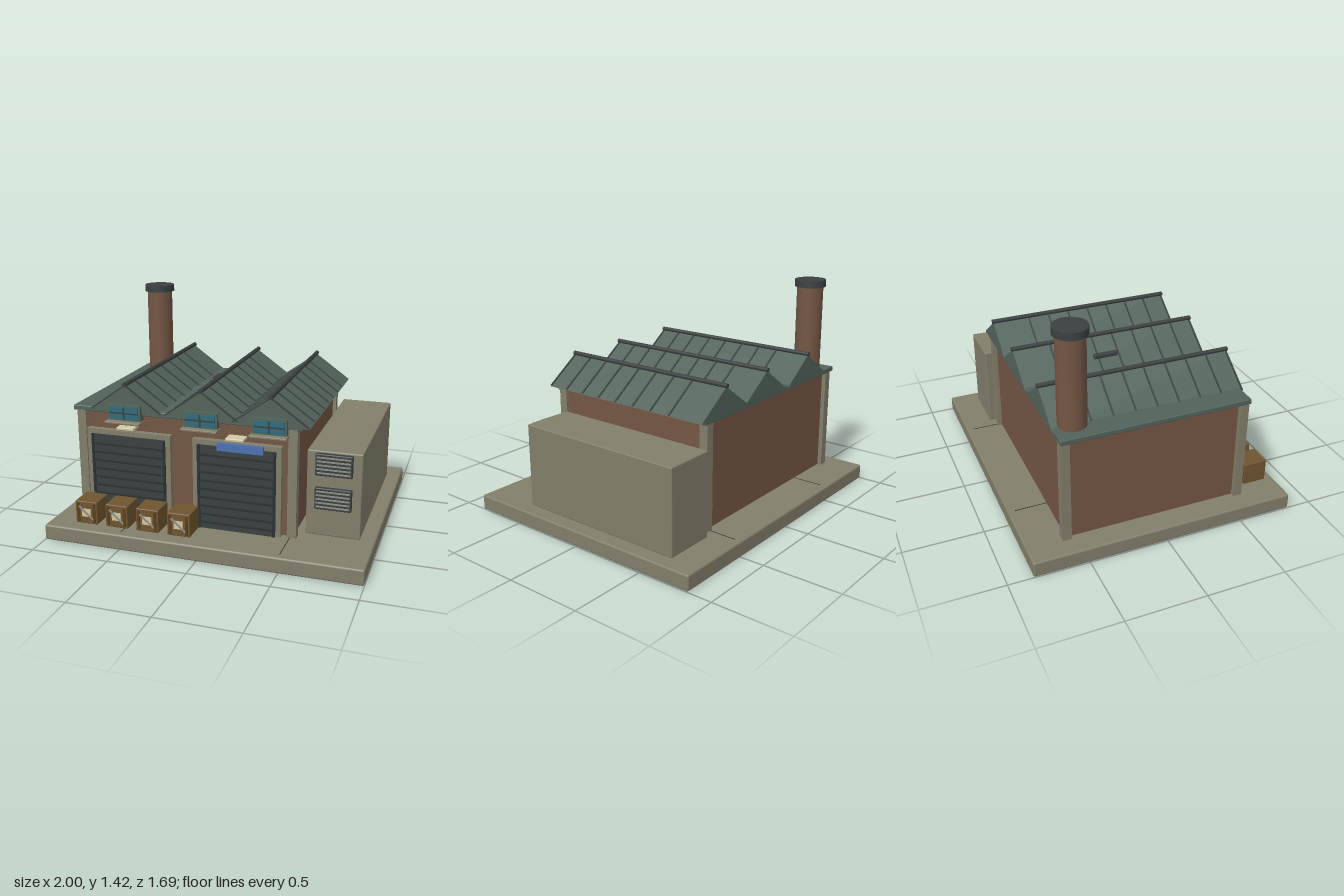
import * as THREE from 'three';
import { RoundedBoxGeometry } from 'three/addons/geometries/RoundedBoxGeometry.js';

const mat = (color) => new THREE.MeshStandardMaterial({ color });
const M = {
  stone: mat(0x827e6b), brick: mat(0x735644), roof: mat(0x52635a), dark: mat(0x3a4040),
  slat: mat(0x2c3131), glass: mat(0x2f6a7a), sign: mat(0x4a70b0), lamp: mat(0xcfc8a2),
  wood: mat(0x70552f), woodDark: mat(0x59401f), strap: mat(0x8a8c80),
};

export function createModel() {
  const root = new THREE.Group();

  const group = (name, parent = root) => {
    const g = new THREE.Group();
    g.name = name;
    parent.add(g);
    return g;
  };
  const add = (name, geometry, material, parent = root) => {
    const m = new THREE.Mesh(geometry, material);
    m.name = name;
    parent.add(m);
    return m;
  };
  // box given by its limits on each axis; r rounds the edges
  const box = (name, [x0, x1], [y0, y1], [z0, z1], material, parent = root, r = 0) => {
    const s = [x1 - x0, y1 - y0, z1 - z0];
    const m = add(name, r ? new RoundedBoxGeometry(...s, 2, r) : new THREE.BoxGeometry(...s), material, parent);
    m.position.set((x0 + x1) / 2, (y0 + y1) / 2, (z0 + z1) / 2);
    return m;
  };

  // ground slab with two joints
  box('groundSlab', [-1, 1], [0, 0.1], [-0.845, 0.845], M.stone, root, 0.012);
  for (const x of [-0.5, 0.5]) box('slabJoint', [x - 0.002, x + 0.002], [0.098, 0.102], [-0.8, 0.8], M.slat);

  // brick hall with corner pilasters and eaves slab
  box('brickWalls', [-0.85, 0.515], [0.1, 0.78], [-0.595, 0.54], M.brick);
  for (const x of [-0.85, 0.51])
    for (const z of [-0.595, 0.54])
      box('cornerPilaster', [x - 0.028, x + 0.028], [0.1, 0.78], [z - 0.028, z + 0.028], M.stone);
  box('eavesSlab', [-0.905, 0.565], [0.775, 0.808], [-0.63, 0.565], M.roof, root, 0.006);

  // three gabled roofs with ridge tubes and sheet seams
  const HALF = 0.235, EAVE = 0.795, PEAK = 0.962, BACK = -0.635, FRONT = 0.578;
  const slope = Math.atan2(PEAK - EAVE, HALF), run = Math.hypot(PEAK - EAVE, HALF);
  const profile = new THREE.Shape([
    new THREE.Vector2(-HALF, EAVE), new THREE.Vector2(HALF, EAVE), new THREE.Vector2(0, PEAK),
  ]);
  const gableGeometry = new THREE.ExtrudeGeometry(profile, { depth: FRONT - BACK, bevelEnabled: false });
  for (const x of [-0.545, -0.055, 0.375]) {
    const g = group('roofGable');
    g.position.x = x;
    add('roofPrism', gableGeometry, M.roof, g).position.z = BACK;
    const ridge = add('ridgeTube', new THREE.CylinderGeometry(0.014, 0.014, 1.23, 12), M.dark, g);
    ridge.rotation.x = Math.PI / 2;
    ridge.position.set(0, PEAK + 0.006, -0.028);
    for (const side of [-1, 1])
      for (let i = 0; i < 8; i++) {
        const seam = add('sheetSeam', new THREE.BoxGeometry(run - 0.01, 0.008, 0.01), M.dark, g);
        seam.position.set(side * HALF / 2, (EAVE + PEAK) / 2 + 0.002, -0.395 + i * 0.1385);
        seam.rotation.z = -side * slope;
      }
  }
  box('roofVent', [-0.195, -0.165], [0.865, 0.895], [-0.15, 0.01], M.dark, root, 0.008);

  // chimney
  const chimney = group('chimney');
  chimney.position.set(-0.757, 0, -0.508);
  add('chimneyStack', new THREE.CylinderGeometry(0.087, 0.087, 0.62, 32), M.brick, chimney).position.y = 1.09;
  add('chimneyCap', new THREE.CylinderGeometry(0.103, 0.103, 0.045, 32), M.dark, chimney).position.y = 1.397;

  // roller doors in stone frames
  for (const x of [-0.532, 0.168]) {
    const g = group('rollerDoor');
    g.position.x = x;
    for (const s of [-1, 1]) {
      const edges = [s * 0.245, s * 0.278].sort((a, b) => a - b);
      box('doorJamb', edges, [0.1, 0.67], [0.53, 0.58], M.stone, g);
    }
    box('doorLintel', [-0.278, 0.278], [0.638, 0.67], [0.53, 0.581], M.stone, g);
    box('doorPanel', [-0.246, 0.246], [0.1, 0.64], [0.53, 0.586], M.dark, g);
    for (let i = 0; i < 9; i++) {
      const y = 0.142 + i * 0.0545;
      box('doorSlat', [-0.235, 0.235], [y - 0.005, y + 0.005], [0.58, 0.598], M.slat, g);
    }
    for (const s of [-1, 1])
      box('doorRail', [s * 0.238 - 0.008, s * 0.238 + 0.008], [0.1, 0.64], [0.58, 0.592], M.slat, g);
  }
  box('blueSign', [0.055, 0.34], [0.62, 0.668], [0.585, 0.608], M.sign);
  for (const x of [-0.532, 0.168]) box('doorLamp', [x - 0.057, x + 0.057], [0.69, 0.709], [0.54, 0.625], M.lamp, root, 0.006);

  // gable windows
  for (const x of [-0.545, -0.052, 0.373]) {
    const g = group('gableWindow');
    g.position.x = x;
    box('windowFrame', [-0.107, 0.107], [0.745, 0.845], [0.55, 0.596], M.roof, g);
    box('windowGlass', [-0.094, 0.094], [0.755, 0.832], [0.58, 0.602], M.glass, g);
    box('windowMullion', [-0.004, 0.004], [0.755, 0.832], [0.59, 0.608], M.dark, g);
    box('windowTransom', [-0.094, 0.094], [0.79, 0.798], [0.59, 0.608], M.dark, g);
    box('windowSill', [-0.114, 0.114], [0.731, 0.746], [0.55, 0.638], M.stone, g, 0.004);
  }

  // side annex with louvred vents
  box('sideAnnex', [0.575, 0.908], [0.1, 0.64], [-0.66, 0.475], M.stone, root, 0.008);
  for (const y of [0.56, 0.347]) {
    const g = group('annexVent');
    g.position.y = y;
    box('ventPanel', [0.63, 0.852], [-0.068, 0.068], [0.47, 0.502], M.dark, g, 0.006);
    for (let i = 0; i < 5; i++) {
      const h = -0.048 + i * 0.024;
      box('ventLouvre', [0.64, 0.842], [h - 0.004, h + 0.004], [0.495, 0.511], M.strap, g);
    }
  }

  // row of crates
  for (const x of [-0.74, -0.537, -0.335, -0.132]) {
    const crate = group('crate');
    crate.position.set(x, 0.187, 0.7);
    box('crateBody', [-0.073, 0.073], [-0.073, 0.073], [-0.077, 0.077], M.wood, crate, 0.006);
    for (const s of [-1, 1]) {
      const face = group('crateFace', crate);
      face.rotation.y = s > 0 ? 0 : Math.PI;
      for (const e of [-1, 1])
        box('cratePost', [e * 0.053 - 0.008, e * 0.053 + 0.008], [-0.06, 0.06], [0.07, 0.083], M.woodDark, face);
      box('crateLabel', [-0.03, 0.03], [-0.026, 0.026], [0.07, 0.081], M.lamp, face);
      const brace = add('crateBrace', new THREE.BoxGeometry(0.125, 0.01, 0.012), M.strap, face);
      brace.position.z = 0.079;
      brace.rotation.z = -0.72;
    }
  }
  return root;
}
